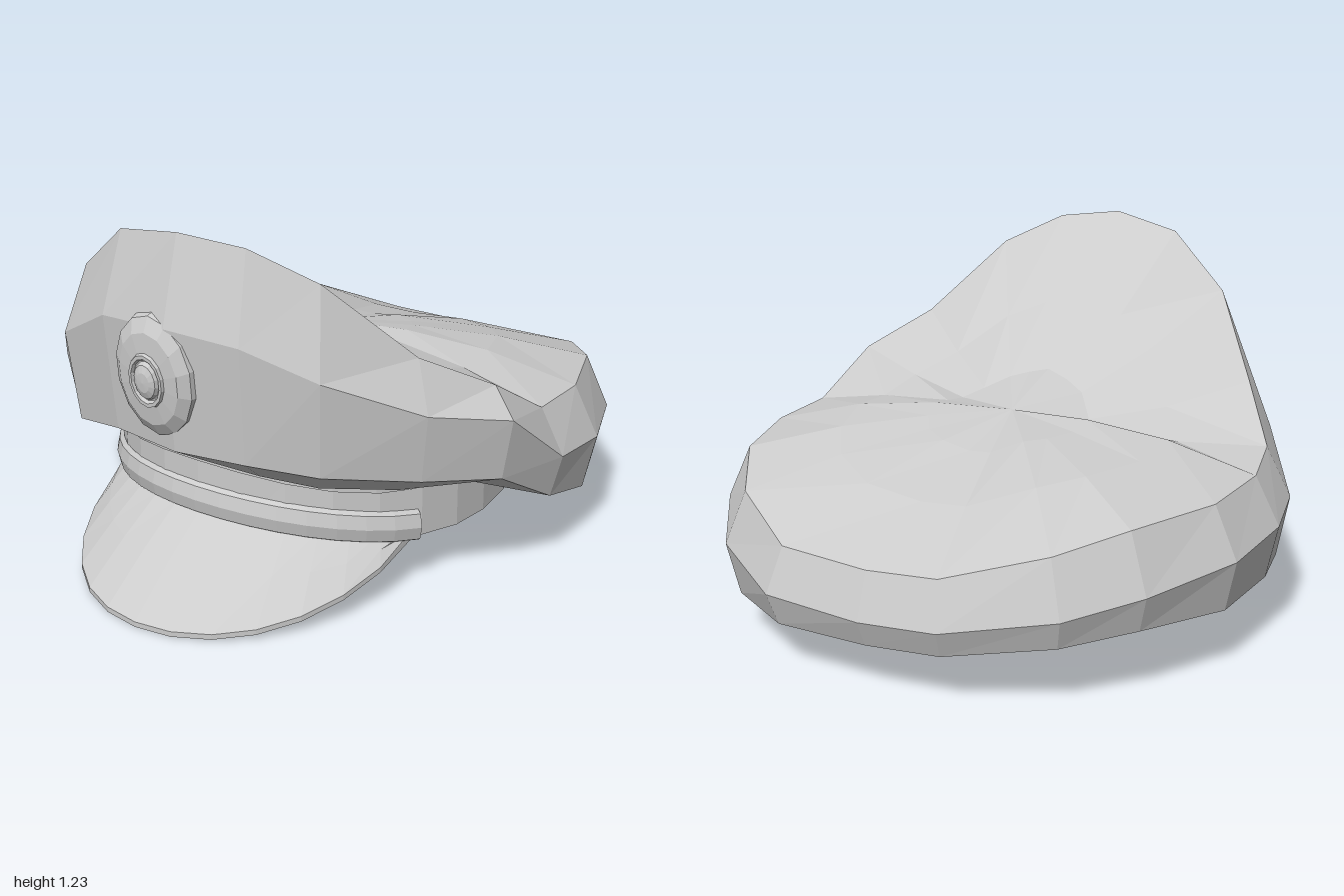
import * as THREE from 'three';

const material = new THREE.MeshStandardMaterial({ color: 0xcccccc, flatShading: true, side: THREE.DoubleSide });
const V = (x, y, z) => new THREE.Vector3(x, y, z);

// Skin a list of equally long point rows; closed rows wrap around.
function loft(name, rows, closed) {
  const n = rows[0].length, index = [];
  for (let r = 0; r < rows.length - 1; r++) {
    for (let i = 0; i < (closed ? n : n - 1); i++) {
      const j = (i + 1) % n, a = r * n + i, b = r * n + j;
      index.push(a, b, b + n, a, b + n, a + n);
    }
  }
  const geometry = new THREE.BufferGeometry().setFromPoints(rows.flat());
  geometry.setIndex(index);
  geometry.computeVertexNormals();
  const mesh = new THREE.Mesh(geometry, material);
  mesh.name = name;
  return mesh;
}

// Point on the egg-shaped head opening, angle measured from the front towards +x.
const around = (angle, y, grow = 0) => {
  const c = Math.cos(angle);
  return V((0.665 + grow) * Math.sin(angle) - 0.012, y, ((c < 0 ? 0.77 : 0.645) + grow) * c);
};
const bandBottom = (a) => 0.172 + 0.07 * Math.max(0, Math.cos(a)) ** 2 + 0.02 * Math.min(0, Math.cos(a));
const bandTop = (a) => 0.35 + 0.08 * Math.max(0, Math.cos(a)) ** 4 + 0.13 * Math.min(0, Math.cos(a));

// Crown outline from the front round to the left: x, z, then heights of
// the widest line, the upper edge and the lower edge.
const outline = [
  [0.04, 0.86, 0.95, 1.225, 0.54], [0.27, 0.80, 0.92, 1.20, 0.53],
  [0.48, 0.69, 0.82, 1.10, 0.50], [0.71, 0.46, 0.69, 0.85, 0.46],
  [0.88, 0.24, 0.64, 0.73, 0.43], [0.93, -0.02, 0.43, 0.58, 0.28],
  [0.93, -0.28, 0.40, 0.57, 0.21], [0.83, -0.58, 0.38, 0.56, 0.19],
  [0.65, -0.82, 0.32, 0.50, 0.14], [0.35, -0.99, 0.27, 0.42, 0.16],
  [0.00, -1.00, 0.26, 0.41, 0.17], [-0.26, -0.97, 0.27, 0.42, 0.18],
  [-0.59, -0.82, 0.32, 0.50, 0.22], [-0.77, -0.62, 0.36, 0.55, 0.24],
  [-0.92, -0.30, 0.39, 0.56, 0.22], [-0.94, 0.00, 0.41, 0.57, 0.23],
  [-0.89, 0.23, 0.43, 0.60, 0.22], [-0.71, 0.49, 0.58, 0.74, 0.36],
  [-0.49, 0.72, 0.78, 1.00, 0.47], [-0.24, 0.81, 0.92, 1.18, 0.53],
];

function crown() {
  const ring = (sx, sz, k) => outline.map((c) => V(c[0] * sx, c[k], (c[1] + 0.05) * (c[1] < 0 ? sz : sx) - 0.05));
  const edge = ring(0.91, 0.945, 3);
  const centre = V(0, 0.68, -0.08);
  // Cloth of the top: hollow behind the front, full at the back, softly wrinkled.
  const inner = (t, lift, sag) => edge.map((p, i) => {
    const q = p.clone().lerp(centre, t);
    q.y += (p.z < 0 ? lift : -sag * p.z / 0.78) + (i % 3 === 0 ? 0.01 : -0.005);
    return q;
  });
  const seat = outline.map((c) => { const a = Math.atan2(c[0], c[1]); return around(a, bandTop(a)); });
  return loft('crown', [seat, ring(0.96, 0.96, 4), ring(1, 1, 2), edge, inner(0.35, 0.03, 0.09), inner(0.68, 0.025, 0.11),
    edge.map(() => centre.clone())], true);
}

function band() {
  const angles = Array.from({ length: 28 }, (_, i) => (i / 28) * Math.PI * 2);
  const row = (height, grow) => angles.map((a) => around(a, height(a), grow));
  return loft('headBand', [row(bandTop, -0.025), row(bandBottom, -0.025), row(bandBottom, 0.012), row(bandTop, 0.01)], true);
}

function strap() {
  const section = [[0, -0.055], [0.016, -0.045], [0.026, 0], [0.016, 0.045], [0, 0.055], [0, -0.055]];
  const count = 18;
  const rows = section.map(([out, up]) => Array.from({ length: count + 1 }, (_, i) => {
    // The repeated, collapsed end points close the strap.
    const a = -1.1 + 2.2 * (Math.min(Math.max(i, 1), count - 1) - 1) / (count - 2);
    const s = i === 0 || i === count ? 0 : 1;
    return around(a, 0.205 + 0.095 * Math.cos(a) ** 2 + up * s, 0.01 + out * s);
  }));
  return loft('strap', rows, false);
}

function visor() {
  const steps = Array.from({ length: 15 }, (_, i) => i / 7 - 1);
  const point = (u, t, drop) => {
    const p = around(u * 1.06, bandBottom(u * 1.06) + 0.015);
    const f = u * Math.PI / 2, c = Math.cos(f);
    const tip = V(0.57 * Math.sin(f), 0.018 + 0.167 * Math.pow(Math.max(0, 1 - c), 1.4), 0.31 + 0.69 * c);
    p.lerp(tip, t);
    p.y += 0.008 * Math.sin(Math.PI * t) * c - drop;
    return p;
  };
  const row = (t, drop) => steps.map((u) => point(u, t, drop));
  return loft('visor', [row(0, 0.018), row(0.5, 0.018), row(1, 0.018), row(1, 0), row(0.5, 0), row(0, 0)], false);
}

// Oval plate with a raised ring and a domed stud.
function badge() {
  const profile = [[1, -0.02], [0.97, 0.005], [0.75, 0.03], [0.44, 0.036], [0.42, 0.046], [0.36, 0.046],
    [0.33, 0.036], [0.31, 0.036], [0.27, 0.048], [0.16, 0.056], [0, 0.058]];
  const geometry = new THREE.LatheGeometry(profile.map(([r, h]) => new THREE.Vector2(r, h)), 14);
  geometry.rotateX(Math.PI / 2).scale(0.15, 0.205, 1);
  const mesh = new THREE.Mesh(geometry, material);
  mesh.name = 'badge';
  mesh.position.set(-0.02, 0.78, 0.835);
  mesh.rotation.x = 0.08;
  return mesh;
}

export function createModel() {
  const group = new THREE.Group();
  group.name = 'peakedCap';
  group.add(crown(), band(), strap(), visor(), badge());
  return group;
}
